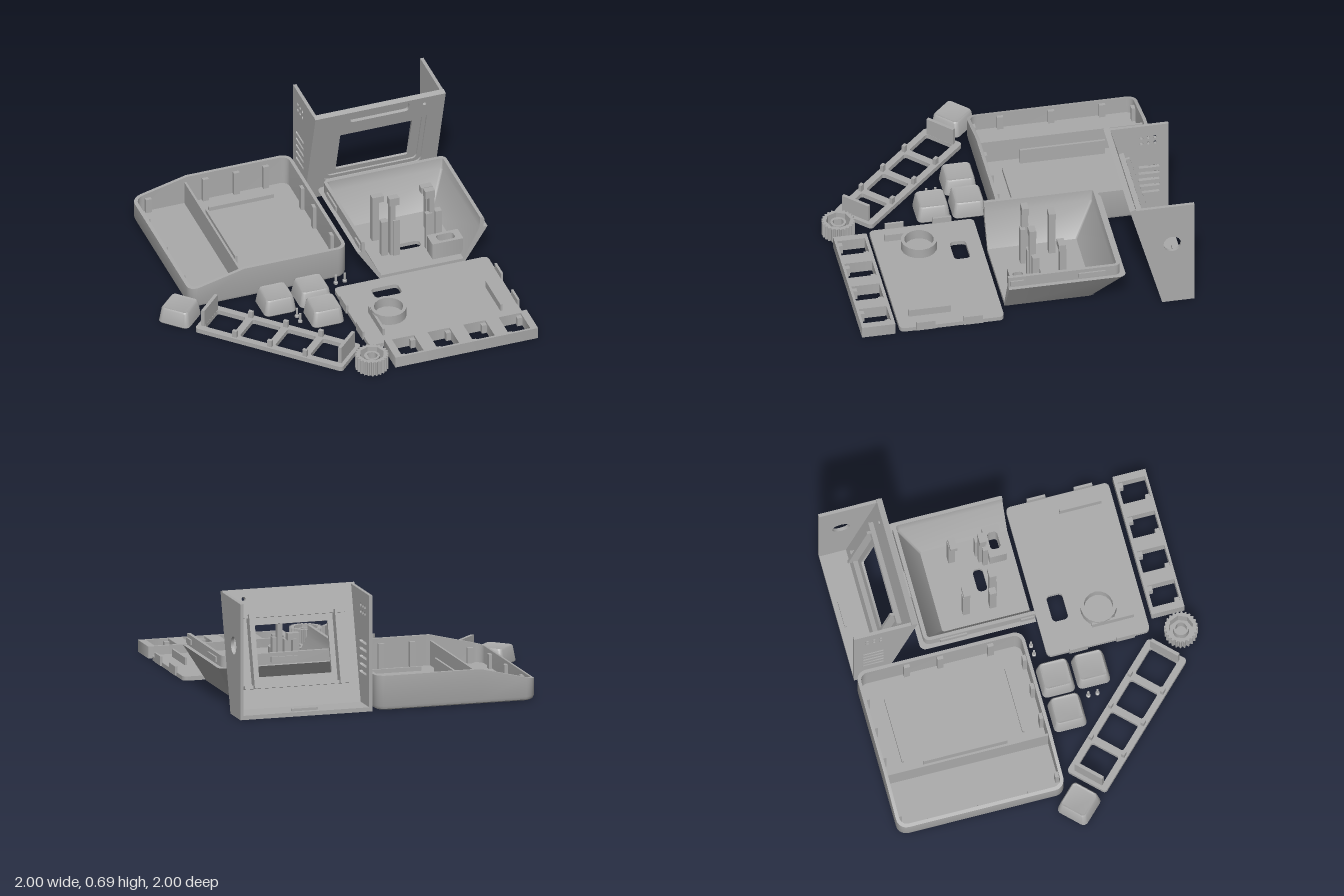
import * as THREE from 'three';
import { toCreasedNormals } from 'three/addons/utils/BufferGeometryUtils.js';

const gray = new THREE.MeshStandardMaterial({ color: 0xaaaaaa });
gray.name = 'printed gray plastic';

function add(parent, name, geo) {
  const mesh = new THREE.Mesh(geo, gray);
  mesh.name = name;
  parent.add(mesh);
  return mesh;
}
function group(parent, name) {
  const g = new THREE.Group();
  g.name = name;
  parent.add(g);
  return g;
}
// Box given by its limits
function box(parent, name, x0, x1, y0, y1, z0, z1) {
  const g = new THREE.BoxGeometry(x1 - x0, y1 - y0, z1 - z0);
  return add(parent, name, g.translate((x0 + x1) / 2, (y0 + y1) / 2, (z0 + z1) / 2));
}
// Rounded rectangle outline
function rrect(x0, x1, y0, y1, r, Type = THREE.Path) {
  const s = new Type();
  const arc = (x, y, a) => s.absarc(x, y, r, a, a + Math.PI / 2, false);
  arc(x1 - r, y1 - r, 0);
  arc(x0 + r, y1 - r, Math.PI / 2);
  arc(x0 + r, y0 + r, Math.PI);
  arc(x1 - r, y0 + r, Math.PI * 1.5);
  s.closePath();
  return s;
}
const circle = (x, y, r) => new THREE.Path().absarc(x, y, r, 0, Math.PI * 2, false);
function extrude(shape, depth, holes = []) {
  shape.holes.push(...holes);
  const g = new THREE.ExtrudeGeometry(shape, { depth, bevelEnabled: false, curveSegments: 8 });
  return toCreasedNormals(g, 0.6);
}
// Flat plate from an (x, z) outline, between two heights
const plate = (shape, y0, y1, holes) =>
  extrude(shape, y1 - y0, holes).rotateX(Math.PI / 2).translate(0, y1, 0);

// Skin through a stack of rings of equal length, capped at both ends
function loft(rings) {
  const pos = [];
  const put = (...pts) => pts.forEach(p => pos.push(p.x, p.y, p.z));
  for (let i = 0; i + 1 < rings.length; i++) {
    const A = rings[i], B = rings[i + 1], n = A.length;
    for (let j = 0; j < n; j++) {
      const k = (j + 1) % n;
      put(A[j], B[j], A[k], A[k], B[j], B[k]);
    }
  }
  const cap = (ring, up) => {
    const flat = ring.map(p => new THREE.Vector2(p.x, p.z));
    for (const [a, b, c] of THREE.ShapeUtils.triangulateShape(flat, [])) {
      const cross = flat[b].clone().sub(flat[a]).cross(flat[c].clone().sub(flat[a]));
      if ((cross < 0) === up) put(ring[a], ring[b], ring[c]);
      else put(ring[a], ring[c], ring[b]);
    }
  };
  cap(rings[0], false);
  cap(rings[rings.length - 1], true);
  const g = new THREE.BufferGeometry();
  g.setAttribute('position', new THREE.Float32BufferAttribute(pos, 3));
  return toCreasedNormals(g, 0.6);
}
// Rounded rectangular ring; height may depend on x, with a kink at kinkX
function ring(x0, x1, z0, z1, r, height, kinkX = (x0 + x1) / 2) {
  const pts = [], put = (x, z) => pts.push(new THREE.Vector3(x, height(x), z));
  const corner = (cx, cz, a0) => {
    for (let i = 0; i <= 5; i++) {
      const a = a0 + (i / 5) * Math.PI / 2;
      put(cx + r * Math.cos(a), cz + r * Math.sin(a));
    }
  };
  corner(x1 - r, z1 - r, 0);
  put(kinkX, z1);
  corner(x0 + r, z1 - r, Math.PI / 2);
  corner(x0 + r, z0 + r, Math.PI);
  put(kinkX, z0);
  corner(x1 - r, z0 + r, Math.PI * 1.5);
  return pts;
}

// Wide case with a rim that drops toward one side
function wideTray(root) {
  const g = group(root, 'wideTray'), kink = -0.46;
  const rim = x => x > kink ? 0.205 : 0.205 - (kink - x) * 0.245;
  const level = (d, h, r) => ring(-0.795 + d, 0.175 - d, -1 + d, -d, r, h, kink);
  add(g, 'trayShell', loft([
    level(0.02, () => 0, 0.05), level(0.006, () => 0.008, 0.06), level(0, () => 0.025, 0.06),
    level(0, rim, 0.06), level(0.02, rim, 0.045), level(0.02, () => 0.025, 0.045)]));
  box(g, 'divider', -0.475, -0.462, 0.02, 0.17, -0.982, -0.018);
  box(g, 'innerWall', -0.427, -0.413, 0.02, 0.12, -0.75, -0.25);
  for (const z of [-0.86, -0.14]) box(g, 'boardRail', -0.37, 0.03, 0.02, 0.05, z - 0.006, z + 0.006);
  for (const x of [-0.7, -0.35, -0.16, 0.02])
    for (const z of [-0.97, -0.03])
      box(g, 'wallRib', x - 0.018, x + 0.018, 0.02, rim(x) - 0.03, z - 0.012, z + 0.012);
  for (const z of [-0.8, -0.5, -0.2]) box(g, 'wallRib', -0.778, -0.755, 0.02, 0.11, z - 0.018, z + 0.018);
  for (const z of [-0.7, -0.5, -0.2]) box(g, 'wallRib', 0.135, 0.158, 0.02, 0.175, z - 0.018, z + 0.018);
}

// Upright screen surround with a leaning front
function screenHousing(root) {
  const g = group(root, 'screenHousing');
  const tilt = Math.atan2(0.19, 0.685), k = 1 / Math.cos(tilt);
  const outline = () => new THREE.Shape([[0.2, 0], [1, 0], [1, 0.685 * k], [0.2, 0.685 * k]]
    .map(p => new THREE.Vector2(...p)));
  const lean = geo => geo.rotateX(tilt).translate(0, 0, -0.81);
  const dot = () => circle(0.875, 0.63 * k, 0.012);
  add(g, 'frontFace', lean(extrude(outline(), 0.02, [
    rrect(0.3, 0.9, 0.13 * k, 0.545 * k, 0.04), rrect(0.42, 0.78, 0.6 * k, 0.67 * k, 0.02), dot(),
  ]).translate(0, 0, -0.02)));
  add(g, 'frontBacking', lean(extrude(outline(), 0.015, [
    rrect(0.38, 0.82, 0.19 * k, 0.48 * k, 0.005), dot(),
  ]).translate(0, 0, -0.035)));
  // Recess bevel around the window
  const frame = rrect(0.3, 0.9, 0.13 * k, 0.545 * k, 0.04, THREE.Shape);
  add(g, 'windowFrame', lean(extrude(frame, 0.01, [rrect(0.325, 0.875, 0.155 * k, 0.52 * k, 0.03)])
    .translate(0, 0, -0.02)));
  // Rails and clips behind the window
  for (const y of [0.14, 0.55]) lean(box(g, 'rearRail', 0.28, 0.92, y - 0.01, y + 0.01, -0.065, -0.034).geometry);
  for (const x of [0.34, 0.86]) lean(box(g, 'rearPost', x - 0.008, x + 0.008, 0.13, 0.56, -0.09, -0.034).geometry);
  // Side walls: a round port on one, sound holes on the other
  const side = (name, x1, holes) => {
    const s = new THREE.Shape([[-1, 0], [-0.812, 0], [-0.624, 0.685], [-1, 0.685]]
      .map(p => new THREE.Vector2(...p)));
    add(g, name, extrude(s, 0.02, holes).rotateY(-Math.PI / 2).translate(x1, 0, 0));
  };
  side('leftWall', 1, [circle(-0.87, 0.415, 0.052)]);
  const sound = [];
  for (const z of [-0.92, -0.88, -0.84])
    for (const y of [0.56, 0.6]) sound.push(circle(z, y, 0.011));
  for (let i = 0; i < 5; i++) sound.push(rrect(-0.95, -0.82, 0.2 + i * 0.045, 0.218 + i * 0.045, 0.008));
  side('rightWall', 0.22, sound);
  box(g, 'bottom', 0.2, 1, 0, 0.025, -1, -0.812);
  box(g, 'latch', 0.52, 0.68, 0.025, 0.04, -0.97, -0.955);
}

// Funnel-shaped body, open at the front
function funnelBody(root) {
  const g = group(root, 'funnelBody');
  const u = (y, o, t) => {
    const pts = [], F = 0.09;
    const path = (d, r) => {
      const x0 = 0.2 + d, x1 = 1 - d, z0 = -0.6 + d * 1.14, out = [[x0, F]];
      for (const [cx, a0] of [[x0 + r, Math.PI], [x1 - r, Math.PI * 1.5]])
        for (let i = 0; i <= 4; i++) {
          const a = a0 + i * Math.PI / 8;
          out.push([cx + r * Math.cos(a), z0 + r + r * Math.sin(a)]);
        }
      out.push([x1, F]);
      return out;
    };
    for (const [x, z] of [...path(o, 0.035), ...path(o + t, 0.015).reverse()])
      pts.push(new THREE.Vector3(x, y, z));
    return pts;
  };
  add(g, 'body', loft([u(0, 0.14, 0.02), u(0.22, 0, 0.05), u(0.22, 0.025, 0.025), u(0.287, 0.025, 0.02)]));
  add(g, 'floor', plate(rrect(0.345, 0.855, -0.435, 0.09, 0.005, THREE.Shape), 0.001, 0.025, [
    rrect(0.53, 0.67, -0.17, -0.11, 0.025), rrect(0.725, 0.83, -0.04, 0.02, 0.02)]));
  add(g, 'portCollar', plate(rrect(0.68, 0.87, -0.06, 0.04, 0.004, THREE.Shape), 0.02, 0.13, [
    rrect(0.725, 0.83, -0.04, 0.02, 0.02)]));
  // Board clips, mirrored about x = 0.6
  for (const s of [-1, 1]) {
    const clip = (name, a, b, y0, y1, z0, z1) =>
      box(g, name, 0.6 + Math.min(s * a, s * b), 0.6 + Math.max(s * a, s * b), y0, y1, z0, z1);
    clip('tallClip', 0.105, 0.135, 0.02, 0.37, -0.12, -0.08);
    clip('tallClipHook', 0.08, 0.14, 0.37, 0.42, -0.12, -0.08);
    clip('tallClipFoot', 0.08, 0.12, 0.02, 0.27, -0.1, -0.07);
    clip('shortClip', 0.145, 0.185, 0.02, 0.3, -0.29, -0.25);
    clip('shortClipHook', 0.115, 0.185, 0.29, 0.33, -0.285, -0.245);
    clip('clipSupport', 0.145, 0.185, 0.02, 0.26, -0.13, -0.09);
    for (const [z0, z1] of [[-0.48, -0.32], [0, 0.08]])
      clip('sideTab', 0.37, 0.385, 0.235, 0.265, z0, z1);
  }
  box(g, 'rearTab', 0.52, 0.68, 0.235, 0.265, -0.582, -0.565);
}

function basePanel(root) {
  const g = group(root, 'basePanel');
  add(g, 'panel', plate(rrect(0.045, 0.99, 0.115, 0.73, 0.03, THREE.Shape), 0, 0.025, [
    rrect(0.24, 0.405, 0.2, 0.295, 0.025)]));
  add(g, 'ring', plate(new THREE.Shape().absarc(0.253, 0.475, 0.105, 0, Math.PI * 2), 0.02, 0.085, [
    circle(0.253, 0.475, 0.085)]));
  for (const x of [0.157, 0.88]) box(g, 'rail', x - 0.007, x + 0.007, 0.02, 0.07, 0.41, 0.66);
  for (const x of [0.042, 0.993])
    for (const z of [0.3, 0.58]) box(g, 'edgeTab', x - 0.007, x + 0.007, 0.005, 0.06, z - 0.055, z + 0.055);
}

function cellStrip(root) {
  const g = group(root, 'cellStrip');
  const xs = [0.165, 0.383, 0.602, 0.82];
  add(g, 'strip', plate(rrect(0.122, 0.998, 0.758, 0.955, 0.002, THREE.Shape), 0, 0.07,
    xs.map(x => rrect(x, x + 0.135, 0.777, 0.94, 0.002))));
  for (const x of xs) {
    box(g, 'cornerTab', x + 0.105, x + 0.136, 0, 0.055, 0.776, 0.805);
    box(g, 'cornerTab', x - 0.001, x + 0.03, 0, 0.055, 0.912, 0.941);
  }
}

function buttonFrame(root) {
  const g = group(root, 'buttonFrame');
  const cells = [-0.336, -0.112, 0.112, 0.336];
  add(g, 'frame', plate(rrect(-0.47, 0.47, -0.13, 0.13, 0.02, THREE.Shape), 0, 0.028,
    cells.map(u => rrect(u - 0.09, u + 0.09, -0.09, 0.09, 0.015))));
  for (const s of [-1, 1]) {
    box(g, 'endWall', s * 0.437 - 0.01, s * 0.437 + 0.01, 0.02, 0.135, -0.092, 0.092);
    for (const u of [-0.224, 0, 0.224])
      box(g, 'framePost', u - 0.014, u + 0.014, 0.02, 0.07, s * 0.108 - 0.01, s * 0.108 + 0.01);
  }
  g.rotation.y = -Math.PI / 4;
  g.position.set(-0.422, 0, 0.465);
}

function knob(root) {
  const g = group(root, 'knob');
  const teeth = 24, pts = [];
  for (let i = 0; i < teeth * 4; i++) {
    const a = i / (teeth * 4) * Math.PI * 2, r = i % 4 < 2 ? 0.097 : 0.087;
    pts.push(new THREE.Vector2(r * Math.cos(a), r * Math.sin(a)));
  }
  const hex = Array.from({ length: 8 }, (_, i) =>
    new THREE.Vector2(0.072 * Math.cos(i * Math.PI / 4), 0.072 * Math.sin(i * Math.PI / 4)));
  add(g, 'knurledWall', plate(new THREE.Shape(pts), 0, 0.093, [new THREE.Path(hex)]));
  add(g, 'base', new THREE.CylinderGeometry(0.078, 0.078, 0.02, 24).translate(0, 0.011, 0));
  const dHole = new THREE.Path().absarc(0, 0, 0.032, -2.4, 2.4, false);
  add(g, 'shaftBoss', plate(new THREE.Shape().absarc(0, 0, 0.046, 0, Math.PI * 2), 0.015, 0.08, [dHole]));
  g.position.set(-0.003, 0, 0.9);
}

function keycaps(root) {
  for (const [x, z, turn] of [[-0.317, 0.135, 0], [-0.095, 0.125, 0], [-0.095, 0.335, 0], [-0.877, 0.057, Math.PI / 4]]) {
    const level = (h, y, r) => ring(-h, h, -h, h, r, () => y);
    const m = add(root, 'keycap', loft([level(0.094, 0, 0.03), level(0.098, 0.006, 0.03), level(0.096, 0.02, 0.03),
      level(0.085, 0.09, 0.025), level(0.078, 0.099, 0.02), level(0.07, 0.096, 0.02)]));
    m.position.set(x, 0, z);
    m.rotation.y = turn;
  }
}

// Small loose pins
function pins(root) {
  const profile = [[0, 0], [0.013, 0], [0.013, 0.012], [0.007, 0.016], [0.007, 0.06], [0, 0.06]]
    .map(p => new THREE.Vector2(...p));
  for (const [x, z] of [[0.085, 0.045], [0.14, 0.042], [-0.24, 0.283], [-0.24, 0.337]])
    add(root, 'pin', toCreasedNormals(new THREE.LatheGeometry(profile, 12), 0.6)).position.set(x, 0, z);
}

export function createModel() {
  const root = new THREE.Group();
  root.name = 'enclosureKit';
  [wideTray, screenHousing, funnelBody, basePanel, cellStrip, buttonFrame, knob, keycaps, pins].forEach(f => f(root));
  return root;
}
